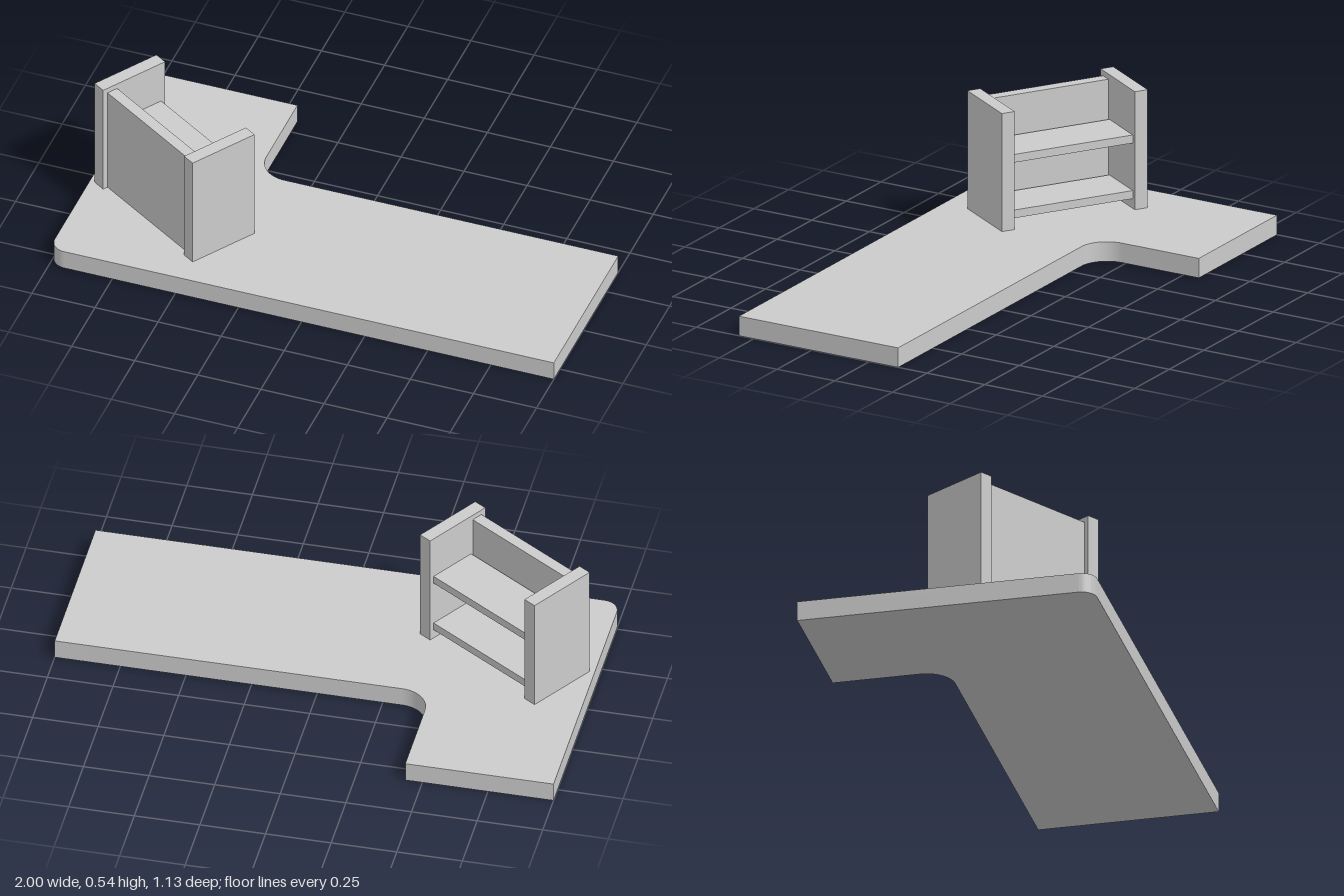
import * as THREE from 'three';
import { toCreasedNormals } from 'three/addons/utils/BufferGeometryUtils.js';

const TOP = 0.077; // thickness of the slab
const material = new THREE.MeshStandardMaterial({ color: 0xcccccc });

// Box given by its centre and size in x and z, and its bottom and top in y
function board(name, x, z, width, depth, bottom, top) {
  const mesh = new THREE.Mesh(new THREE.BoxGeometry(width, top - bottom, depth), material);
  mesh.name = name;
  mesh.position.set(x, (bottom + top) / 2, z);
  return mesh;
}

// L-shaped worktop with a filleted inner corner and a rounded outer corner
function createWorktop() {
  const inner = 0.11, outer = 0.06;
  const s = new THREE.Shape();
  s.moveTo(-1, -0.567);
  s.lineTo(-0.435, -0.567);
  s.lineTo(-0.435, -0.125 - inner);
  s.absarc(-0.435 + inner, -0.125 - inner, inner, Math.PI, Math.PI / 2, true);
  s.lineTo(1, -0.125);
  s.lineTo(1, 0.565);
  s.lineTo(-1 + outer, 0.565);
  s.absarc(-1 + outer, 0.565 - outer, outer, Math.PI / 2, Math.PI, false);
  s.closePath();

  const geometry = new THREE.ExtrudeGeometry(s, { depth: TOP, bevelEnabled: false, curveSegments: 16 });
  geometry.rotateX(Math.PI / 2).translate(0, TOP, 0);
  const mesh = new THREE.Mesh(toCreasedNormals(geometry, Math.PI / 6), material);
  mesh.name = 'worktop';
  return mesh;
}

// Pedestal turned on the worktop: two sides, a front panel and two shelves
function createPedestal() {
  const pedestal = new THREE.Group();
  pedestal.name = 'pedestal';
  pedestal.position.set(-0.648, 0, 0.173);
  pedestal.rotation.y = -0.57;

  for (const side of [-1, 1]) {
    pedestal.add(board(side < 0 ? 'rightSide' : 'leftSide', side * 0.276, 0, 0.053, 0.288, TOP, 0.542));
  }
  pedestal.add(board('frontPanel', 0, 0.1015, 0.5, 0.045, TOP, 0.521));
  for (const [name, y] of [['lowerShelf', 0.115], ['upperShelf', 0.334]]) {
    pedestal.add(board(name, 0, -0.028, 0.5, 0.196, y, y + 0.032));
  }
  return pedestal;
}

export function createModel() {
  const model = new THREE.Group();
  model.name = 'cornerDesk';
  model.add(createWorktop(), createPedestal());
  return model;
}
